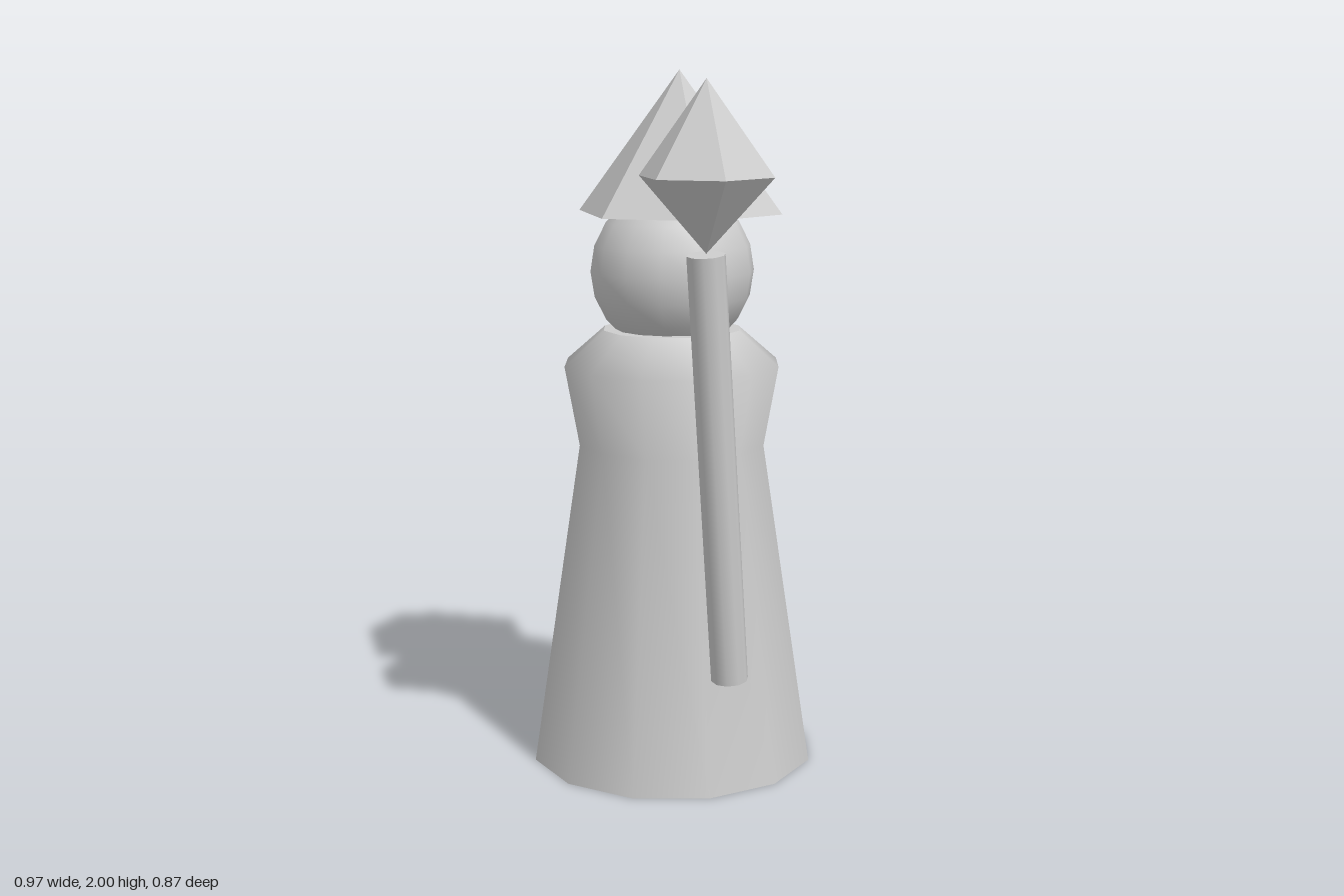
import * as THREE from 'three';

export function createModel() {
  const model = new THREE.Group();
  model.name = 'robedFigure';
  const grey = new THREE.MeshStandardMaterial({ color: 0xcccccc });
  grey.name = 'light grey';

  const add = (name, geometry, x, y, z) => {
    const mesh = new THREE.Mesh(geometry, grey);
    mesh.name = name;
    mesh.position.set(x, y, z);
    model.add(mesh);
    return mesh;
  };
  // Faceted cone with its own face normals, corners on the z axis
  const cone = (radius, height, open) => {
    const g = new THREE.ConeGeometry(radius, height, 6, 1, open).toNonIndexed();
    g.computeVertexNormals();
    return g;
  };

  const bx = -0.073, bz = -0.018;

  // Robe: twelve-sided, pinched below the shoulders
  const profile = [[0.416, 0], [0.273, 0.94], [0.315, 1.17], [0.2, 1.27]];
  add('robe', new THREE.LatheGeometry(profile.map(p => new THREE.Vector2(...p)), 12), bx, 0, bz);
  add('robeBase', new THREE.CircleGeometry(0.416, 12), bx, 0, bz).rotation.x = Math.PI / 2;
  add('collarTop', new THREE.CircleGeometry(0.2, 12), bx, 1.27, bz).rotation.x = -Math.PI / 2;

  // Head, slightly deeper than wide
  add('head', new THREE.SphereGeometry(0.238, 14, 10), bx, 1.436, -0.022).scale.x = 0.97;

  // Pointed hat
  add('hat', cone(0.3, 0.4, false), bx, 1.8, -0.05);

  // Leaning staff
  const bottom = new THREE.Vector3(0.297, 0.337, 0.122);
  const top = new THREE.Vector3(0.327, 1.532, 0.25);
  const axis = top.clone().sub(bottom);
  const middle = top.clone().add(bottom).multiplyScalar(0.5);
  const staff = add('staff', new THREE.CylinderGeometry(0.052, 0.052, axis.length(), 10), middle.x, middle.y, middle.z);
  staff.quaternion.setFromUnitVectors(new THREE.Vector3(0, 1, 0), axis.normalize());

  // Crystal: two open pyramids joined at the girdle
  add('crystalTop', cone(0.182, 0.25, true), 0.328, 1.86, 0.25);
  add('crystalBottom', cone(0.182, 0.2, true), 0.328, 1.635, 0.25).rotation.x = Math.PI;

  return model;
}
